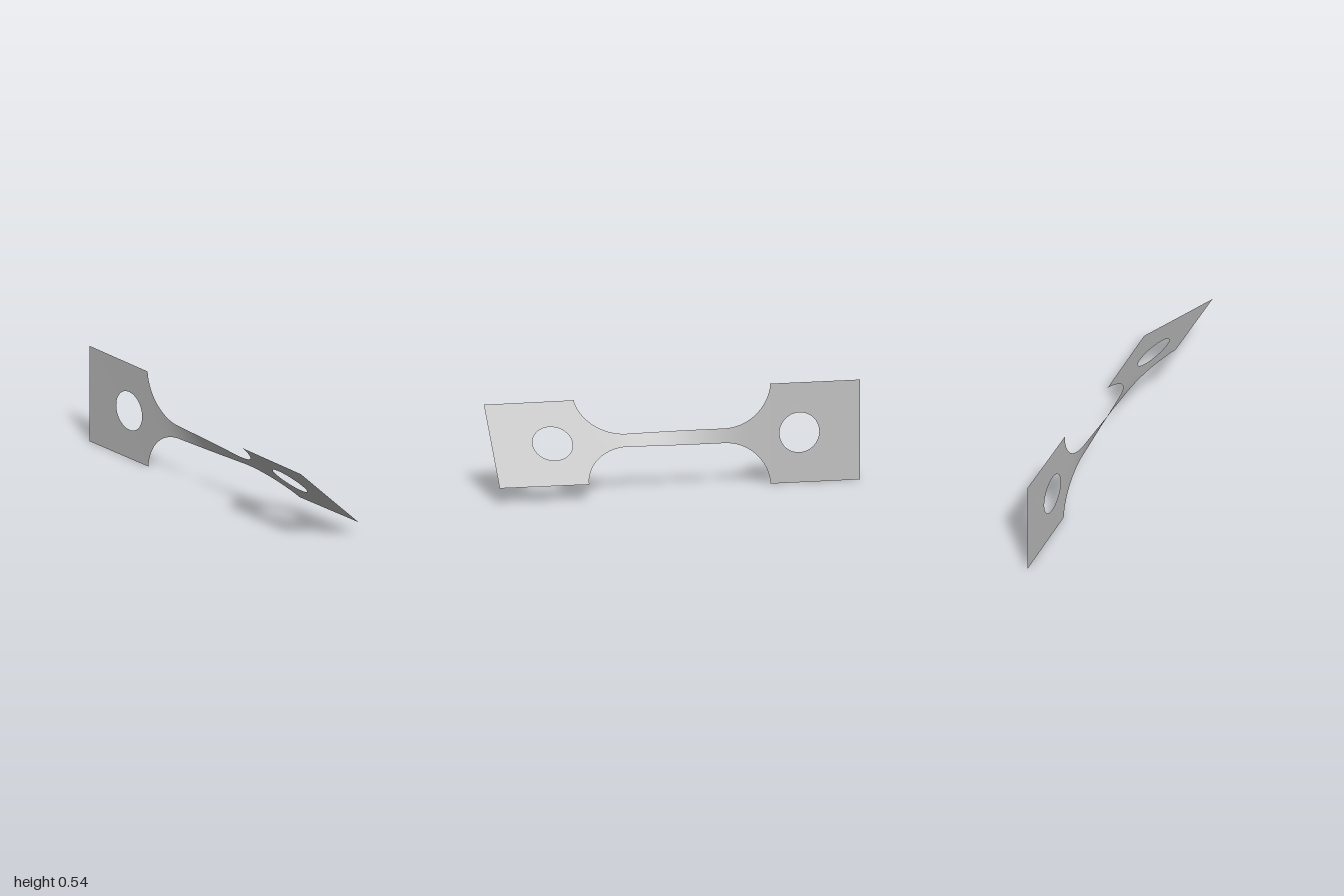
import * as THREE from 'three';

const TAB_START = 0.512, TAB_HALF = 0.271, NECK_HALF = 0.039;
const FILLET_X = 0.26, FILLET_R = 0.255;
const HOLE_X = 0.67, HOLE_R = 0.108;
const TOTAL_TWIST = 0.82; // radians, from one end to the other

// Half width of the strip at any x: wide tabs, round fillets, slim neck
function halfWidth(x) {
  const d = Math.abs(x) - FILLET_X;
  if (Math.abs(x) >= TAB_START) return TAB_HALF;
  if (d <= 0) return NECK_HALF;
  const h = NECK_HALF + FILLET_R - Math.sqrt(Math.max(0, FILLET_R ** 2 - d ** 2));
  return Math.min(TAB_HALF, h);
}

// Twist accumulates where the strip is narrow, hardly at all in the tabs
const STEPS = 400;
const twistTable = [0];
for (let i = 0; i < STEPS; i++) {
  const x = -1 + (2 * (i + 0.5)) / STEPS;
  twistTable.push(twistTable[i] + 1 / halfWidth(x) ** 2);
}
function twistAt(x) {
  const t = THREE.MathUtils.clamp((x + 1) / 2, 0, 1) * STEPS;
  const i = Math.min(STEPS - 1, Math.floor(t));
  const v = THREE.MathUtils.lerp(twistTable[i], twistTable[i + 1], t - i);
  return (TOTAL_TWIST * v) / twistTable[STEPS];
}

// Turn every flat point about the long axis
function twist(geometry) {
  const p = geometry.attributes.position;
  for (let i = 0; i < p.count; i++) {
    const x = p.getX(i), y = p.getY(i), a = twistAt(x);
    p.setXYZ(i, x, y * Math.cos(a), y * Math.sin(a));
  }
  geometry.computeVertexNormals();
  return geometry;
}

// Rectangular end tab with a round hole
function tabGeometry(side) {
  const x0 = side < 0 ? -1 : TAB_START;
  const x1 = side < 0 ? -TAB_START : 1;
  const shape = new THREE.Shape();
  shape.moveTo(x0, -TAB_HALF);
  shape.lineTo(x1, -TAB_HALF);
  shape.lineTo(x1, TAB_HALF);
  shape.lineTo(x0, TAB_HALF);
  shape.closePath();
  const hole = new THREE.Path();
  hole.absarc(side * HOLE_X, 0, HOLE_R, 0, Math.PI * 2, true);
  shape.holes.push(hole);
  return twist(new THREE.ShapeGeometry(shape, 32));
}

// Slim neck with its fillets, as a grid scaled to the width
function neckGeometry() {
  const geometry = new THREE.PlaneGeometry(2 * TAB_START, 2, 160, 8);
  const p = geometry.attributes.position;
  for (let i = 0; i < p.count; i++) {
    // crowd the columns towards the steep fillet ends
    const x = TAB_START * Math.sin((p.getX(i) / TAB_START) * Math.PI / 2);
    const w = Math.abs(x) > TAB_START - 1e-6 ? TAB_HALF : halfWidth(x);
    p.setXY(i, x, p.getY(i) * w);
  }
  return twist(geometry);
}

export function createModel() {
  const metal = new THREE.MeshStandardMaterial({ color: 0xc0c0c0, side: THREE.DoubleSide });
  metal.name = 'grey metal';

  const group = new THREE.Group();
  group.name = 'twistedStrip';
  const add = (name, geometry) => {
    const mesh = new THREE.Mesh(geometry, metal);
    mesh.name = name;
    mesh.position.y = TAB_HALF;
    group.add(mesh);
  };
  add('rightTab', tabGeometry(-1));
  add('leftTab', tabGeometry(1));
  add('neck', neckGeometry());
  return group;
}
